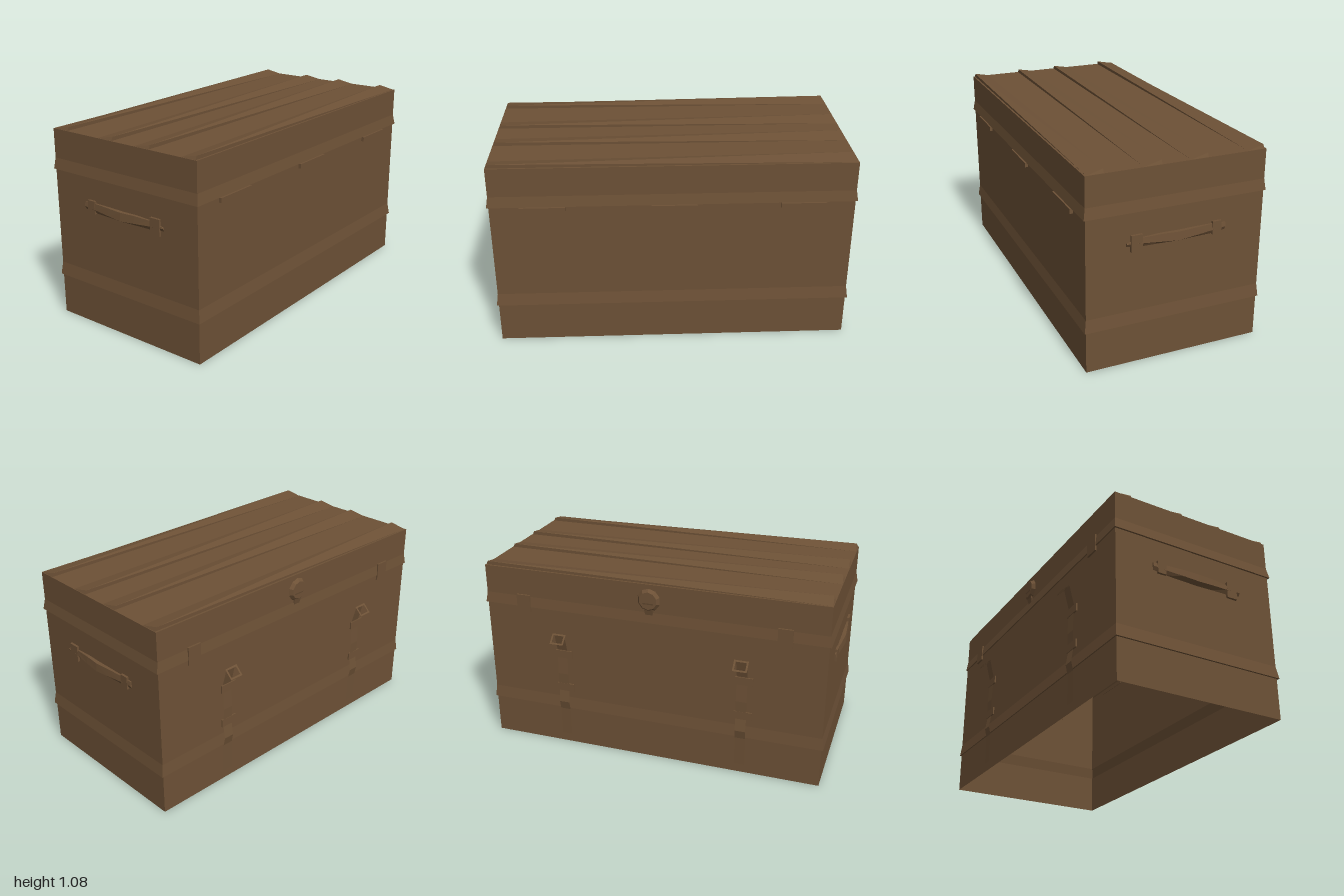
import * as THREE from 'three';
import { ConvexGeometry } from 'three/addons/geometries/ConvexGeometry.js';

const brown = new THREE.MeshStandardMaterial({ color: 0x6d5136, flatShading: true, side: THREE.DoubleSide });
brown.name = 'brown wood';

const BACK = -0.458, FRONT = 0.518, SIDE = 0.973, TOP = 1.06;

// Skin a list of equal-length rings of [x, y, z] points
function loft(rings, { closed = true, capStart = false, capEnd = false } = {}) {
  const pos = [];
  const n = rings[0].length;
  for (let i = 0; i + 1 < rings.length; i++) {
    for (let j = 0; j < (closed ? n : n - 1); j++) {
      const a = rings[i][j], b = rings[i][(j + 1) % n];
      const d = rings[i + 1][j], c = rings[i + 1][(j + 1) % n];
      pos.push(...a, ...b, ...c, ...a, ...c, ...d);
    }
  }
  const last = rings[rings.length - 1];
  for (let j = 1; j + 1 < n; j++) {
    if (capStart) pos.push(...rings[0][0], ...rings[0][j + 1], ...rings[0][j]);
    if (capEnd) pos.push(...last[0], ...last[j], ...last[j + 1]);
  }
  const g = new THREE.BufferGeometry();
  g.setAttribute('position', new THREE.Float32BufferAttribute(pos, 3));
  g.computeVertexNormals();
  return g;
}

function add(parent, name, geometry, x = 0, y = 0, z = 0) {
  const mesh = new THREE.Mesh(geometry, brown);
  mesh.name = name;
  mesh.position.set(x, y, z);
  parent.add(mesh);
  return mesh;
}

const box = (parent, name, w, h, d, x, y, z) => add(parent, name, new THREE.BoxGeometry(w, h, d), x, y, z);

// Shell with two flared bands, open underneath
function makeBody() {
  const profile = [[0, 0], [0.23, 0], [0.23, 0.01], [0.3, 0], [0.84, 0], [0.84, 0.01], [0.9, 0], [TOP, 0]];
  return loft(profile.map(([y, o]) => [
    [SIDE + o, y, FRONT + o], [SIDE + o, y, BACK - o * 0.7],
    [-SIDE - o, y, BACK - o * 0.7], [-SIDE - o, y, FRONT + o],
  ]), { capEnd: true });
}

// Lid slat whose ridge runs diagonally from one end to the other
function makeSlat(z0, z1) {
  return new ConvexGeometry([
    [-0.97, TOP, z0], [0.97, TOP, z0], [-0.97, TOP, z1], [0.97, TOP, z1],
    [-0.96, TOP + 0.02, z1], [0.96, TOP + 0.02, z0],
  ].map((p) => new THREE.Vector3(...p)));
}

// Bowed carrying handle with two mounts, built for the +x end
function makeHandle() {
  const g = new THREE.Group();
  const sections = [[0.305, 0.68, 0.984, 0.662], [0.22, 0.7, 0.987, 0.65], [0.12, 0.705, 0.995, 0.648],
    [0.03, 0.703, 1, 0.645], [-0.06, 0.705, 0.995, 0.648], [-0.16, 0.705, 0.987, 0.65], [-0.24, 0.7, 0.984, 0.66]];
  const grip = loft(sections.map(([z, top, x, low], i) => {
    const mid = 0.678 - 0.02 * (1 - Math.abs(i - 3) / 3);
    return [[0.974, low, z], [x, mid, z], [x - 0.004, top, z], [0.974, top, z]].reverse();
  }), { capStart: true, capEnd: true });
  add(g, 'grip', grip);
  box(g, 'handleMount', 0.014, 0.09, 0.062, 0.979, 0.675, 0.252);
  box(g, 'handleMount', 0.014, 0.07, 0.05, 0.979, 0.682, -0.19);
  return g;
}

// Back strap with crossbars and a buckle frame standing out at the top
function makeStrap() {
  const g = new THREE.Group();
  g.name = 'strap';
  const path = [[0.05, -0.461], [0.22, -0.463], [0.27, -0.474], [0.34, -0.463], [0.45, -0.467],
    [0.6, -0.461], [0.65, -0.475], [0.71, -0.49]];
  add(g, 'strapBand', loft(path.map(([y, z]) => [[0.03, y, z], [-0.03, y, z]]), { closed: false }));
  for (const y of [0.365, 0.575]) box(g, 'strapKeeper', 0.1, 0.045, 0.01, -0.01, y, BACK - 0.003);
  const frame = new THREE.Shape([[-0.04, -0.032], [0.04, -0.032], [0.04, 0.032], [-0.04, 0.032]]
    .map((p) => new THREE.Vector2(...p)));
  frame.holes.push(new THREE.Path([[-0.03, -0.022], [-0.03, 0.022], [0.03, 0.022], [0.03, -0.022]]
    .map((p) => new THREE.Vector2(...p))));
  const buckle = add(g, 'buckle', new THREE.ShapeGeometry(frame), 0, 0.688, -0.513);
  buckle.rotation.x = Math.PI / 4;
  return g;
}

export function createModel() {
  const model = new THREE.Group();
  model.name = 'trunk';
  add(model, 'body', makeBody());

  for (const [z0, z1] of [[0.42, 0.508], [0.118, 0.215], [-0.132, -0.035], [-0.447, -0.355]]) {
    add(model, 'lidSlat', makeSlat(z0, z1));
  }

  for (const s of [1, -1]) {
    const handle = makeHandle();
    handle.name = s > 0 ? 'leftHandle' : 'rightHandle';
    handle.scale.x = s;
    model.add(handle);
    const strap = makeStrap();
    strap.position.x = s * 0.525;
    model.add(strap);
    box(model, 'backClasp', 0.08, 0.1, 0.012, s * 0.745, 0.86, BACK - 0.004);
  }

  // Front catches under the lid
  for (const x of [-0.69, 0.005, 0.695]) {
    box(model, 'frontCatch', 0.245, 0.026, 0.02, x, 0.825, FRONT + 0.007);
  }

  // Round lock plate with a tongue on the back of the lid
  const lock = add(model, 'lockPlate', new THREE.CylinderGeometry(0.065, 0.05, 0.018, 10), 0, 0.972, BACK - 0.009);
  lock.rotation.x = Math.PI / 2;
  add(model, 'lockTongue', new ConvexGeometry([
    [-0.035, 0.95, BACK], [0.035, 0.95, BACK], [-0.02, 0.88, BACK], [0.02, 0.88, BACK],
    [-0.03, 0.96, BACK - 0.02], [0.03, 0.96, BACK - 0.02],
  ].map((p) => new THREE.Vector3(...p))));

  return model;
}
